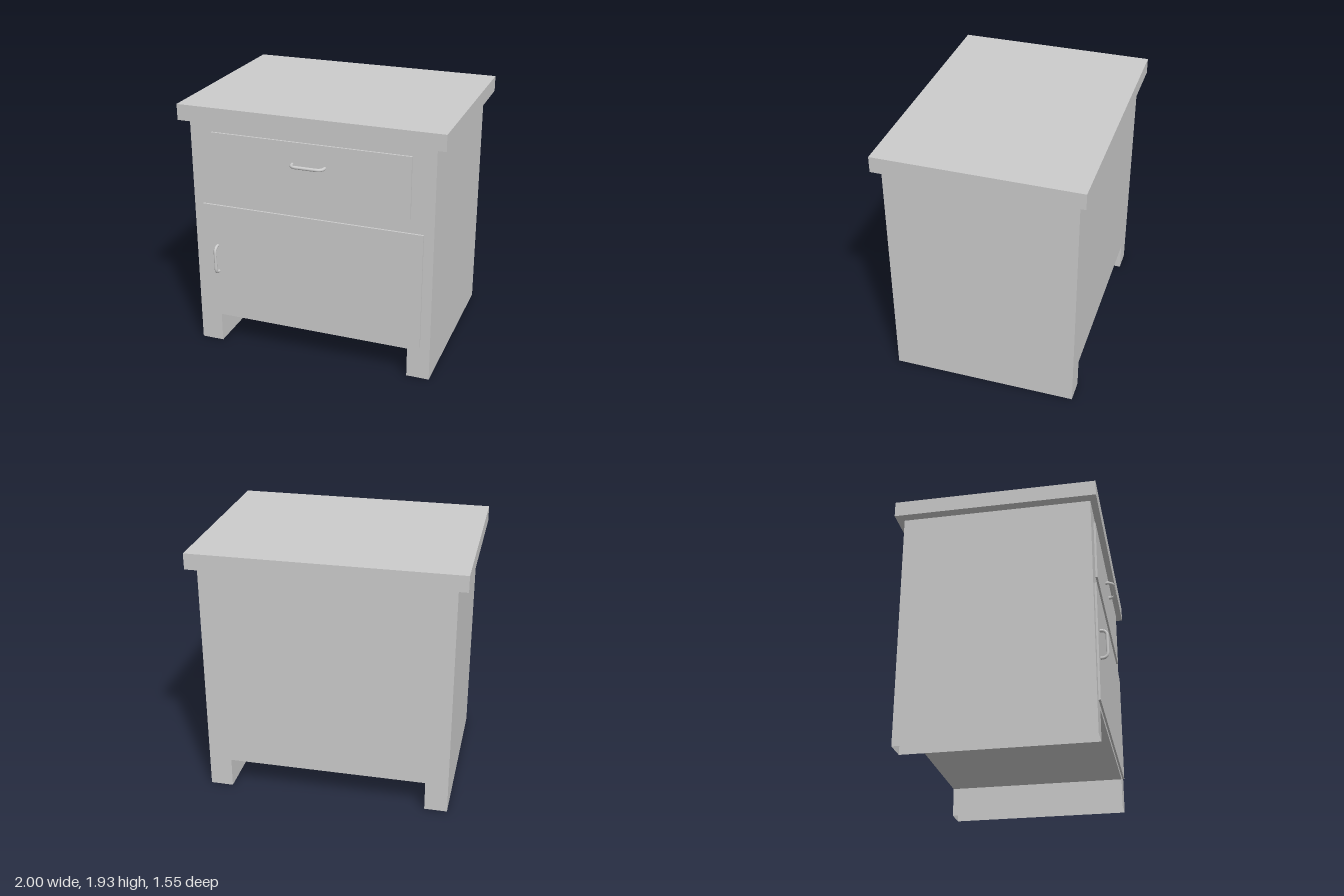
import * as THREE from 'three';

const grey = new THREE.MeshStandardMaterial({ color: 0xcccccc, side: THREE.DoubleSide });
const V = (x, y, z = 0) => new THREE.Vector3(x, y, z);

function add(parent, name, geometry, x = 0, y = 0, z = 0) {
  const mesh = new THREE.Mesh(geometry, grey);
  mesh.name = name;
  mesh.position.set(x, y, z);
  parent.add(mesh);
  return mesh;
}

// Box given by its lower and upper corners
function block(parent, name, [x0, y0, z0], [x1, y1, z1]) {
  return add(parent, name, new THREE.BoxGeometry(x1 - x0, y1 - y0, z1 - z0),
    (x0 + x1) / 2, (y0 + y1) / 2, (z0 + z1) / 2);
}

// Round bar pull with bent corners: runs along x, projects along +z
function pull(parent, name, half, depth, bend, radius) {
  const path = new THREE.CurvePath();
  const h = half - radius, d = depth - radius;
  path.add(new THREE.LineCurve3(V(-h, 0, 0), V(-h, 0, d - bend)));
  path.add(new THREE.QuadraticBezierCurve3(V(-h, 0, d - bend), V(-h, 0, d), V(bend - h, 0, d)));
  path.add(new THREE.LineCurve3(V(bend - h, 0, d), V(h - bend, 0, d)));
  path.add(new THREE.QuadraticBezierCurve3(V(h - bend, 0, d), V(h, 0, d), V(h, 0, d - bend)));
  path.add(new THREE.LineCurve3(V(h, 0, d - bend), V(h, 0, 0)));
  return add(parent, name, new THREE.TubeGeometry(path, 60, radius, 16));
}

export function createModel() {
  const model = new THREE.Group();
  model.name = 'nightstand';
  const W = 0.927, LEG = 0.755, GAP = 0.23, H = 1.81, FRONT = 0.691, BACK = -0.718;
  const depth = FRONT - BACK, mid = (FRONT + BACK) / 2;

  // Hollow carcass, open under the feet
  const body = new THREE.Group();
  body.name = 'cabinetBody';
  model.add(body);
  const outline = new THREE.Shape([[-W, 0], [-LEG, 0], [-LEG, GAP], [LEG, GAP], [LEG, 0],
    [W, 0], [W, H], [-W, H]].map(([x, y]) => new THREE.Vector2(x, y)));
  add(body, 'frontPanel', new THREE.ShapeGeometry(outline), 0, 0, FRONT);
  add(body, 'backPanel', new THREE.ShapeGeometry(outline), 0, 0, BACK).rotation.y = Math.PI;
  for (const s of [1, -1]) {
    const side = s > 0 ? 'left' : 'right';
    add(body, side + 'SidePanel', new THREE.PlaneGeometry(depth, H), s * W, H / 2, mid)
      .rotation.y = s * Math.PI / 2;
    add(body, side + 'LegInnerFace', new THREE.PlaneGeometry(depth, GAP), s * LEG, GAP / 2, mid)
      .rotation.y = -s * Math.PI / 2;
  }
  add(body, 'bottomPanel', new THREE.PlaneGeometry(2 * LEG, depth), 0, GAP, mid)
    .rotation.x = Math.PI / 2;

  // Overhanging top
  block(model, 'tabletop', [-1, H, -0.774], [1, 1.93, 0.741]);

  // Drawer and door fronts
  const face = 0.706;
  block(model, 'drawerFront', [-LEG, 1.267, FRONT - 0.01], [LEG, 1.733, face]);
  block(model, 'door', [-0.853, 0.262, FRONT - 0.01], [0.853, 1.163, face]);

  // Handles
  pull(model, 'drawerHandle', 0.135, 0.069, 0.05, 0.012).position.set(0, 1.568, 0.704);
  const doorHandle = pull(model, 'doorHandle', 0.118, 0.064, 0.045, 0.011);
  doorHandle.position.set(-0.748, 0.725, 0.704);
  doorHandle.rotation.z = Math.PI / 2;

  return model;
}
